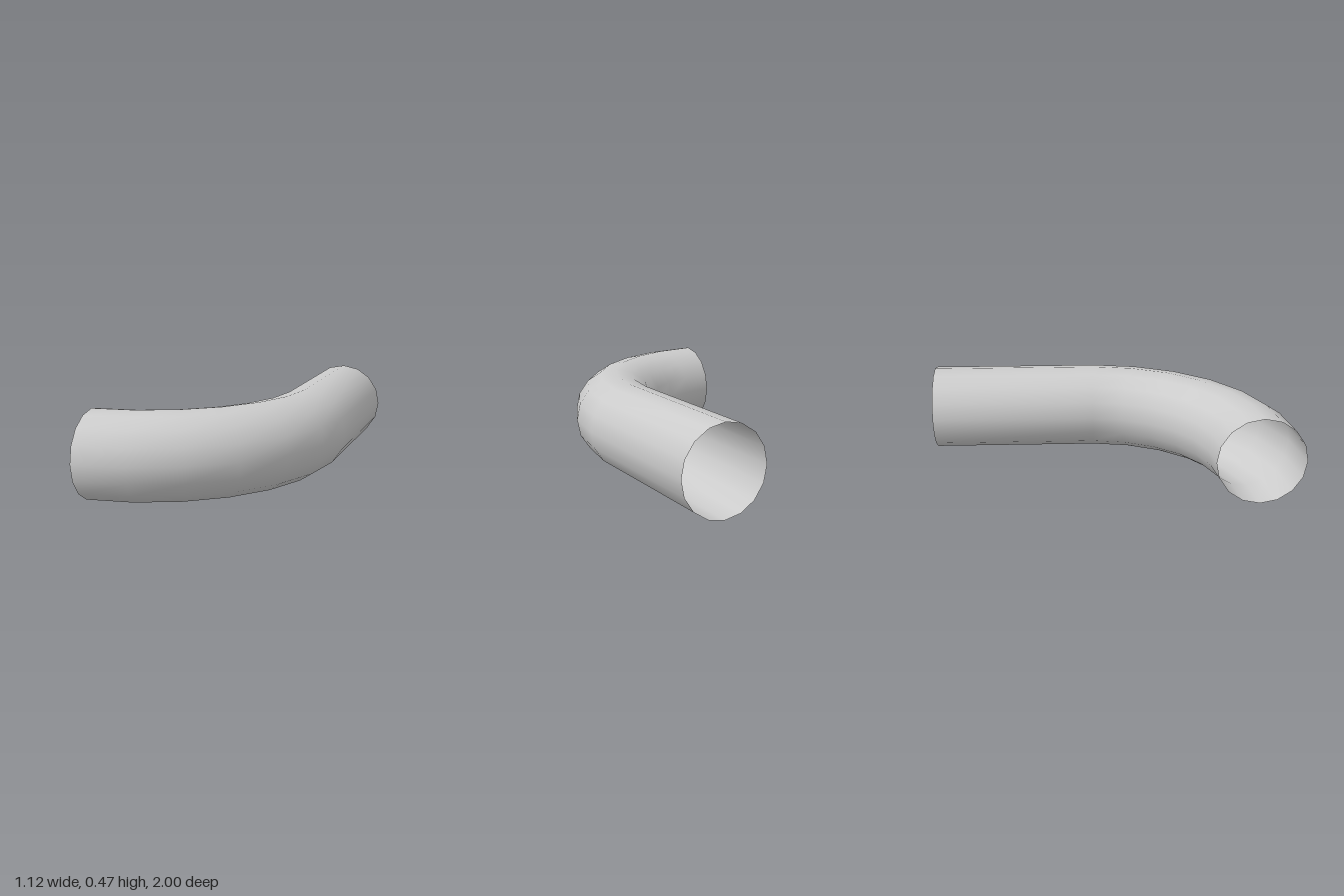
import * as THREE from 'three';

const SIDES = 16, RADIUS = 0.235, BEND = 0.876, STEPS = 6;

// Rings along the path: centre (x, z) and the angle of the ring's plane seen from above
function pathRings() {
  const rings = [{ x: 0.323, z: -1, angle: 0 }];
  const start = THREE.MathUtils.degToRad(2.3);
  for (let i = 0; i <= STEPS; i++) {
    const angle = THREE.MathUtils.lerp(start, Math.PI / 2, i / STEPS);
    rings.push({
      x: -0.558 + BEND * Math.cos(angle),
      z: -0.111 + BEND * Math.sin(angle),
      angle,
    });
  }
  return rings;
}

// Open shell through the rings, with shared vertices for smooth shading
function pipeGeometry(rings) {
  const positions = [], indices = [];
  rings.forEach(({ x, z, angle }, i) => {
    for (let j = 0; j < SIDES; j++) {
      const t = (j / SIDES) * Math.PI * 2;
      const out = RADIUS * Math.cos(t);
      positions.push(x + out * Math.cos(angle), RADIUS + RADIUS * Math.sin(t), z + out * Math.sin(angle));
      if (i === 0) continue;
      const k = (j + 1) % SIDES;
      const a = (i - 1) * SIDES + j, b = (i - 1) * SIDES + k;
      const c = i * SIDES + k, d = i * SIDES + j;
      indices.push(a, b, d, b, c, d);
    }
  });
  const geometry = new THREE.BufferGeometry();
  geometry.setAttribute('position', new THREE.Float32BufferAttribute(positions, 3));
  geometry.setIndex(indices);
  geometry.computeVertexNormals();
  return geometry;
}

export function createModel() {
  const group = new THREE.Group();
  group.name = 'pipeElbow';

  // Thin-walled pipe, open at both ends
  const material = new THREE.MeshStandardMaterial({ color: 0xcccccc, side: THREE.DoubleSide });
  const pipe = new THREE.Mesh(pipeGeometry(pathRings()), material);
  pipe.name = 'bentPipe';
  group.add(pipe);
  return group;
}
